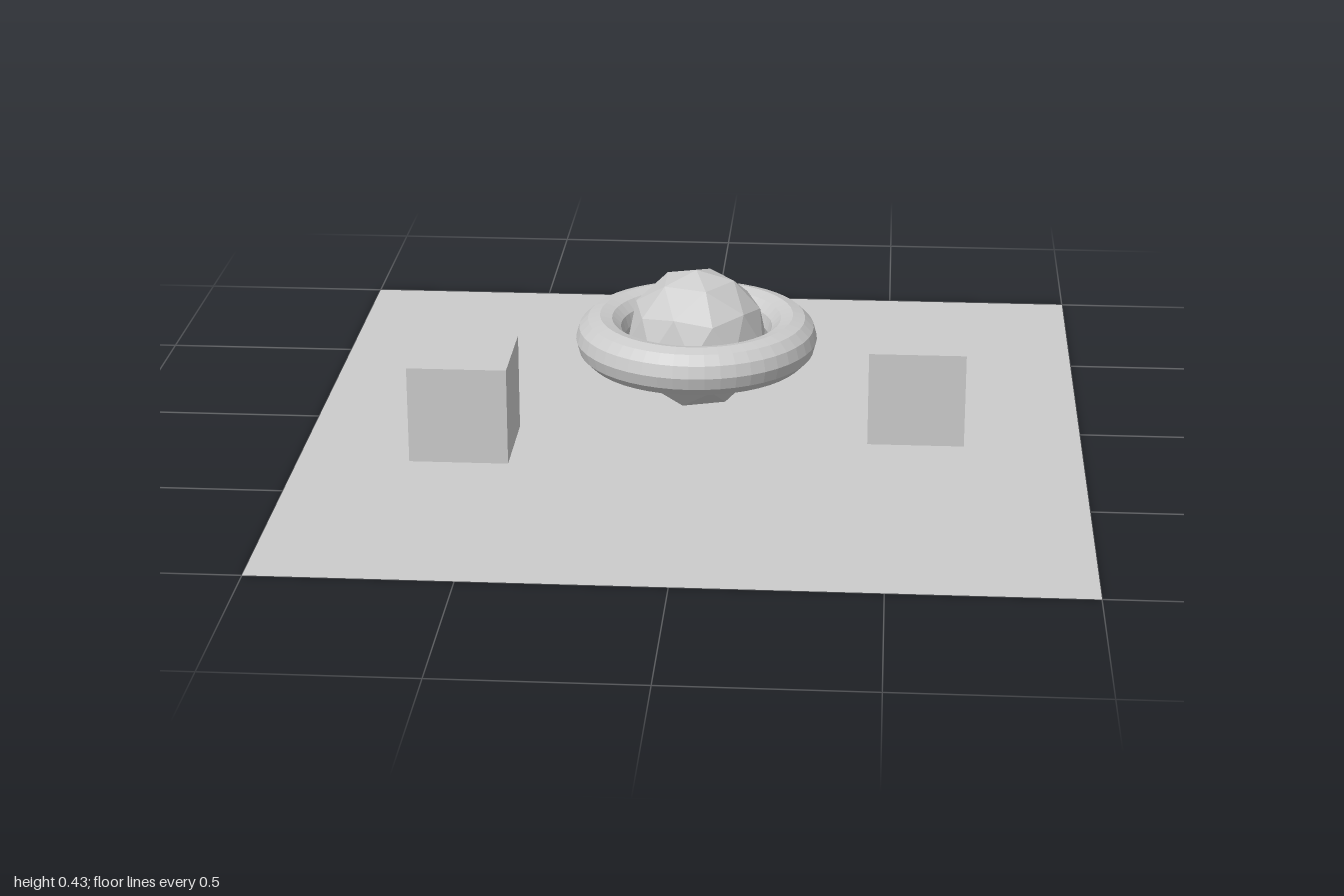
import * as THREE from 'three';

const material = new THREE.MeshStandardMaterial({ color: 0xcccccc, flatShading: true });
const sheetMaterial = new THREE.MeshStandardMaterial({ color: 0xcccccc, side: THREE.DoubleSide });

export function createModel() {
  const model = new THREE.Group();
  model.name = 'primitivesOnPlane';

  const add = (name, geometry, x, y, z, mat = material) => {
    const mesh = new THREE.Mesh(geometry, mat);
    mesh.name = name;
    mesh.position.set(x, y, z);
    model.add(mesh);
  };

  // Thin square floor
  add('floor', new THREE.PlaneGeometry(2, 2).rotateX(-Math.PI / 2), 0, 0, 0, sheetMaterial);

  // Faceted ball, turned so a vertex points straight up
  const tilt = Math.atan(2 / (1 + Math.sqrt(5)));
  add('ball', new THREE.IcosahedronGeometry(0.184, 1).rotateZ(-tilt), 0, 0.248, 0);

  // Horizontal ring around the ball
  add('ring', new THREE.TorusGeometry(0.25, 0.0625, 12, 48).rotateX(-Math.PI / 2), 0, 0.25, 0);

  // Two floating cubes
  const cube = new THREE.BoxGeometry(0.248, 0.248, 0.248);
  add('rightCube', cube, -0.565, 0.19, 0.322);
  add('leftCube', cube, 0.573, 0.136, 0.005);

  return model;
}
